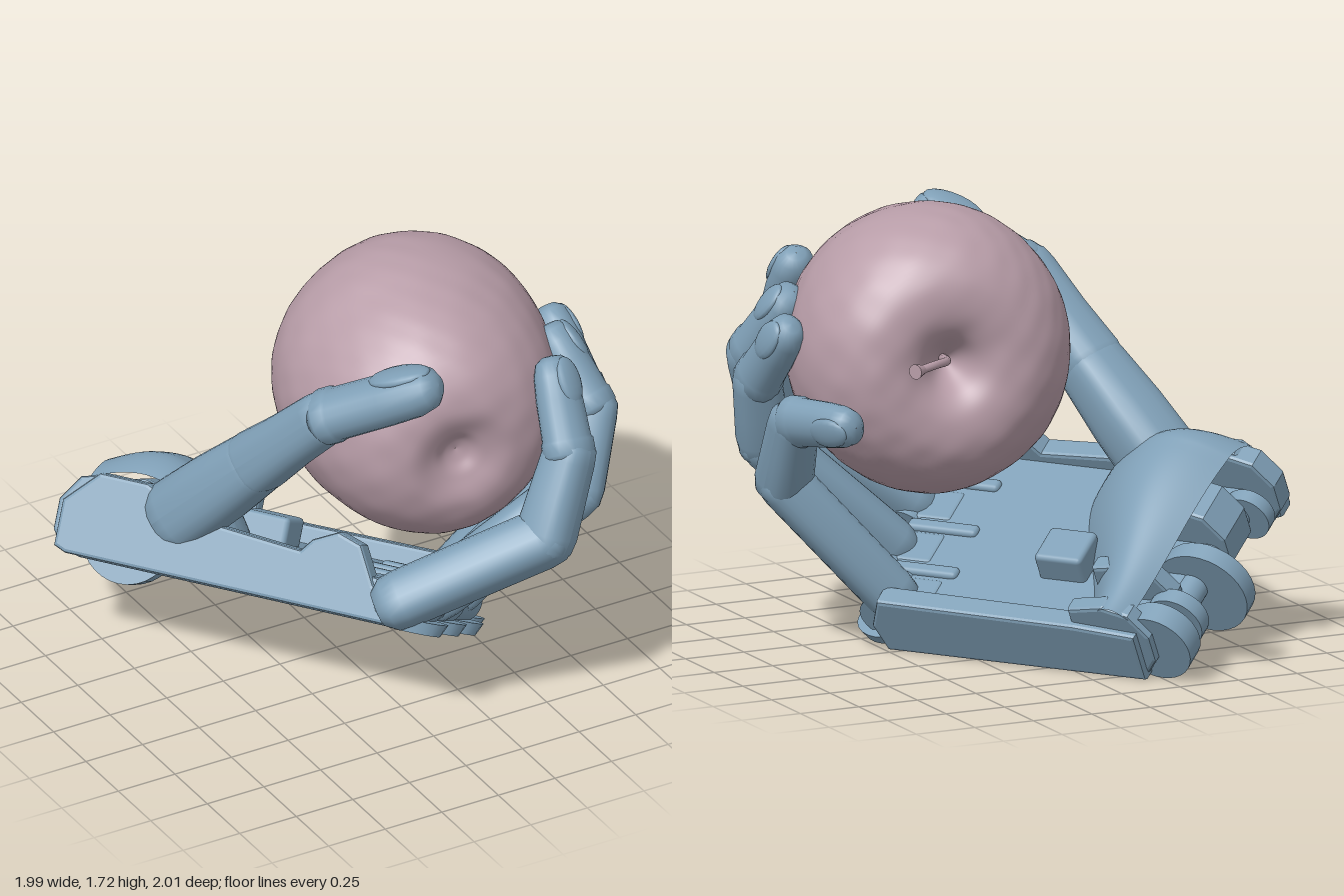
import * as THREE from 'three';
import { mergeVertices } from 'three/addons/utils/BufferGeometryUtils.js';
import { RoundedBoxGeometry } from 'three/addons/geometries/RoundedBoxGeometry.js';
import { ParametricGeometry } from 'three/addons/geometries/ParametricGeometry.js';

const V = (x, y, z) => new THREE.Vector3(x, y, z);
const shell = new THREE.MeshStandardMaterial({ color: 0x7f9fb6 });
const thinShell = new THREE.MeshStandardMaterial({ color: 0x7f9fb6, side: THREE.DoubleSide });
const skin = new THREE.MeshStandardMaterial({ color: 0xb89da8 });
const fruitCentre = V(0.285, 1.18, 0.14);

function add(parent, name, geometry, material = shell) {
  const mesh = new THREE.Mesh(geometry, material);
  mesh.name = name;
  parent.add(mesh);
  return mesh;
}

// Frame whose y runs along dir and whose z turns towards out
function aim(object, position, dir, out) {
  const y = dir.clone().normalize();
  const x = y.clone().cross(out).normalize();
  const z = x.clone().cross(y);
  object.quaternion.setFromRotationMatrix(new THREE.Matrix4().makeBasis(x, y, z));
  object.position.copy(position);
  return object;
}

const outward = (a, b) => a.clone().add(b).multiplyScalar(0.5).sub(fruitCentre);
const lathe = (pts, sides) => new THREE.LatheGeometry(pts.map(p => new THREE.Vector2(...p)), sides);

// Tapered finger link with rounded ends and a slightly boxy section
function link(parent, name, a, b, ra, rb, bulge = 0) {
  const len = a.distanceTo(b);
  const mid = (ra + rb) / 2 + bulge;
  const g = lathe([[0.001, -ra * 0.85], [ra * 0.6, -ra * 0.75], [ra * 0.93, -ra * 0.35], [ra, 0.02],
    [mid, len * 0.5], [rb, len - 0.02], [rb * 0.93, len + rb * 0.35],
    [rb * 0.6, len + rb * 0.75], [0.001, len + rb * 0.85]], 24);
  const p = g.attributes.position;
  for (let i = 0; i < p.count; i++) {
    const angle = Math.atan2(p.getZ(i), p.getX(i));
    const k = 1.02 - 0.05 * Math.cos(4 * angle);
    p.setXYZ(i, p.getX(i) * k, p.getY(i), p.getZ(i) * k);
  }
  g.computeVertexNormals();
  aim(add(parent, name, g), a, b.clone().sub(a), outward(a, b));
}

// Fingertip: stepped collar, tapering pad and a nail on the outer side
function tip(parent, a, b, r, rTip, out = outward(a, b)) {
  const len = a.distanceTo(b);
  const group = new THREE.Group();
  group.name = 'fingertip';
  const pad = lathe([[0.001, -0.03], [r * 0.85, -0.03], [r * 1.04, 0], [r * 1.04, 0.05], [r * 0.97, 0.06],
    [(r + rTip) / 2, len * 0.55], [rTip, len * 0.8], [rTip * 0.82, len * 0.93], [rTip * 0.45, len * 0.99], [0.001, len]], 20);
  add(group, 'pad', pad).scale.z = 0.88;
  const nail = add(group, 'nail', new THREE.SphereGeometry(1, 16, 10));
  nail.scale.set(rTip * 0.75, len * 0.25, rTip * 0.3);
  nail.position.set(0, len * 0.72, rTip * 0.7);
  nail.rotation.x = -0.12;
  aim(group, a, b.clone().sub(a), out);
  parent.add(group);
}

const bevel = { bevelEnabled: true, bevelSize: 0.015, bevelThickness: 0.015, bevelOffset: -0.015, bevelSegments: 2 };

// Flat outline in the palm plane, thickened from y0 to y1
function slab(outline, y0, y1) {
  const shape = new THREE.Shape(outline.map(p => new THREE.Vector2(...p)));
  const g = new THREE.ExtrudeGeometry(shape, { depth: y1 - y0 - 0.03, ...bevel });
  return g.rotateX(Math.PI / 2).translate(0, y1 - 0.015, 0);
}

// Side profile (z, y) swept across the palm from x0 to x1
function sweep(profile, x0, x1) {
  const shape = new THREE.Shape(profile.map(p => new THREE.Vector2(-p[0], p[1])));
  const g = new THREE.ExtrudeGeometry(shape, { depth: x1 - x0 - 0.03, ...bevel });
  return g.rotateY(Math.PI / 2).translate(x0 + 0.015, 0, 0);
}

function box(parent, name, w, h, d, x, y, z) {
  add(parent, name, new RoundedBoxGeometry(w, h, d, 2, 0.02)).position.set(x, y, z);
}

// Disc or pin turning about the axis across the palm
function hinge(parent, name, r, w, x, y, z) {
  add(parent, name, new THREE.CylinderGeometry(r, r, w, 32).rotateZ(Math.PI / 2)).position.set(x, y, z);
}

// Wrist cover: a smooth hood, deep and tall at the thumb, narrowing to the little-finger side
function hood(u, v, target) {
  const s = THREE.MathUtils.smoothstep(u, 0.2, 1);
  const rear = 0.06 + 0.1 * u;
  const front = THREE.MathUtils.lerp(0.7, 0.4, s) - 0.25 * Math.max(0, 0.15 - u);
  const height = THREE.MathUtils.lerp(0.45, 0.33, s) - 4 * Math.max(0, 0.15 - u) ** 2;
  const rise = v < 0.35
    ? 0.8 + 0.2 * Math.sin(v / 0.35 * Math.PI / 2)
    : Math.cos((v - 0.35) / 0.65 * Math.PI / 2) ** 0.8;
  target.set(u, 0.1 + (height - 0.1) * rise, rear + (front - rear) * v);
}

function makePalm() {
  // Local axes: x index to little finger, y out of the palm, z wrist to knuckles
  const palm = new THREE.Group();
  palm.name = 'palm';
  palm.quaternion.setFromRotationMatrix(new THREE.Matrix4().makeBasis(
    V(0.697, -0.494, -0.523), V(0.395, 0.871, -0.296), V(0.6, 0, 0.8)));
  palm.position.set(-0.98, 0.52, -0.42);

  add(palm, 'palmBody', slab([[0, 0.06], [0.95, 0.14], [1.02, 0.45], [1.0, 1.23], [0.78, 1.24],
    [0.74, 1.32], [0.52, 1.32], [0.25, 1.36], [0, 1.38]], -0.005, 0.17));
  add(palm, 'indexSideWall', sweep([[-0.03, 0.02], [0.02, 0], [1.4, 0], [1.4, 0.06], [1.28, 0.14], [1.2, 0.28], [1.1, 0.31],
    [1.0, 0.26], [0.96, 0.21], [0.5, 0.24], [0.3, 0.33], [0.1, 0.33], [-0.03, 0.2]], -0.015, 0.08));
  add(palm, 'littleSideWall', sweep([[0.14, 0], [1.25, 0], [1.29, 0.12], [1.24, 0.25],
    [0.4, 0.24], [0.14, 0.22]], 0.93, 1.03));
  box(palm, 'palmBlock', 0.18, 0.14, 0.2, 0.62, 0.21, 0.6);

  // Knuckles: hinge, flared plate under it and a neck running into the palm
  [[0.12, 1.42], [0.38, 1.4], [0.62, 1.38], [0.87, 1.28]].forEach(([x, z], i) => {
    hinge(palm, 'knuckleHinge', 0.09, 0.19, x, 0.11, z);
    const lobe = add(palm, 'knucklePlate', new THREE.CylinderGeometry(0.105, 0.085, 0.05, 20));
    lobe.position.set(x + (i === 3 ? 0.03 : 0), 0.015, z + 0.02);
    lobe.scale.z = 1.15;
    box(palm, 'knuckleNeck', 0.17, 0.17, 0.22, x, 0.09, z - 0.1);
    if (i < 3) box(palm, 'webBridge', 0.06, 0.12, 0.3, x + 0.125, 0.13, z - 0.2);
  });

  // Wrist housing with a rounded rear edge and open slots
  add(palm, 'wristCover', new ParametricGeometry(hood, 40, 30), thinShell);
  const lug = [[0.3, 0], [0.3, 0.3], [0.15, 0.33], [0.04, 0.3], [-0.03, 0.2], [-0.03, 0.08], [0.02, 0.01], [0.1, 0]];
  [[0, 0.1, -0.02], [0.22, 0.42, 0.05], [0.68, 0.76, 0.12], [0.92, 1.0, 0.12]].forEach(([a, b, shift]) =>
    add(palm, 'wristLug', sweep(lug.map(([z, y]) => [z + shift, y]), a, b)));
  hinge(palm, 'wristDisc', 0.1, 0.06, 0.16, 0.1, 0.06);
  hinge(palm, 'wristDisc', 0.19, 0.08, 0.56, 0.08, 0.07);
  hinge(palm, 'wristDisc', 0.12, 0.07, 0.78, 0.11, 0.09);
  hinge(palm, 'wristDisc', 0.15, 0.1, 0.92, 0.12, 0.1);
  hinge(palm, 'wristPin', 0.06, 0.9, 0.5, 0.11, 0.1);
  return palm;
}

function makeFingers(parent) {
  const fingers = [
    ['indexFinger', 0.115, [-0.1, 0.6, 0.65], [0.42, 0.85, 0.88], [0.56, 1.15, 0.82], [0.6, 1.47, 0.61]],
    ['middleFinger', 0.115, [0.17, 0.46, 0.48], [0.7, 0.84, 0.62], [0.83, 1.12, 0.53], [0.76, 1.4, 0.3]],
    ['ringFinger', 0.11, [0.33, 0.345, 0.32], [0.83, 0.8, 0.42], [0.9, 1.06, 0.34], [0.88, 1.33, 0.08]],
    ['littleFinger', 0.107, [0.45, 0.22, 0.08], [0.85, 0.68, 0.21], [0.89, 0.96, 0.04], [0.8, 1.0, -0.32]],
  ];
  for (const [name, r, ...path] of fingers) {
    const [a, b, c, d] = path.map(p => V(...p));
    const finger = new THREE.Group();
    finger.name = name;
    link(finger, 'lowerLink', a, b, r * 0.98, r);
    link(finger, 'middleLink', b, c, r, r * 0.88);
    tip(finger, c, d, r * 0.93, r * 0.78);
    parent.add(finger);
  }
  // Thumb
  const thumb = new THREE.Group();
  thumb.name = 'thumb';
  const [a, b, c, d] = [V(-0.57, 0.69, -0.2), V(-0.41, 1.03, 0.1), V(-0.28, 1.35, 0.4), V(0.03, 1.58, 0.74)];
  link(thumb, 'thumbRoot', a, b, 0.15, 0.13, 0.005);
  link(thumb, 'thumbMiddle', b, c, 0.13, 0.11, -0.005);
  tip(thumb, c, d, 0.12, 0.11, V(0.1, 1, 0));
  parent.add(thumb);
}

function makeFruit() {
  const fruit = new THREE.Group();
  fruit.name = 'fruit';
  aim(fruit, fruitCentre, V(0.21, 0.03, -0.98), V(0, 1, 0));
  const profile = new THREE.SplineCurve([[0.001, -0.46], [0.05, -0.475], [0.11, -0.51], [0.22, -0.535], [0.36, -0.465],
    [0.48, -0.29], [0.54, -0.08], [0.557, 0.08], [0.53, 0.25], [0.45, 0.39], [0.34, 0.47], [0.22, 0.485], [0.13, 0.45],
    [0.06, 0.37], [0.001, 0.29]].map(p => new THREE.Vector2(...p)));
  let g = new THREE.LatheGeometry(profile.getPoints(90), 128);
  g.deleteAttribute('uv');
  g.deleteAttribute('normal');
  g = mergeVertices(g, 1e-4);
  // Gentle lumps over the skin
  const p = g.attributes.position;
  for (let i = 0; i < p.count; i++) {
    const x = p.getX(i), y = p.getY(i), z = p.getZ(i);
    const k = 1 + 0.006 * Math.sin(9 * x + 5 * y) * Math.sin(8 * z - 4 * y)
      + 0.004 * Math.sin(31 * x + 9 * y) * Math.sin(29 * y + 7 * z) * Math.sin(33 * z + 8 * x);
    p.setXYZ(i, x * k * 0.975, y * k, z * k);
  }
  g.computeVertexNormals();
  add(fruit, 'fruitBody', g, skin);
  return fruit;
}

function makeStem(parent) {
  const curve = new THREE.CatmullRomCurve3([V(0.34, 1.19, -0.12), V(0.42, 1.225, -0.33), V(0.5, 1.235, -0.4), V(0.59, 1.23, -0.44)]);
  add(parent, 'stem', new THREE.TubeGeometry(curve, 24, 0.017, 10), skin);
  const knob = add(parent, 'stemEnd', new THREE.CylinderGeometry(0.03, 0.018, 0.05, 12), skin);
  aim(knob, V(0.59, 1.23, -0.44), V(0.85, 0, -0.45), V(0, 1, 0));
}

export function createModel() {
  const model = new THREE.Group();
  model.name = 'handHoldingFruit';
  model.add(makePalm());
  makeFingers(model);
  model.add(makeFruit());
  makeStem(model);
  return model;
}
